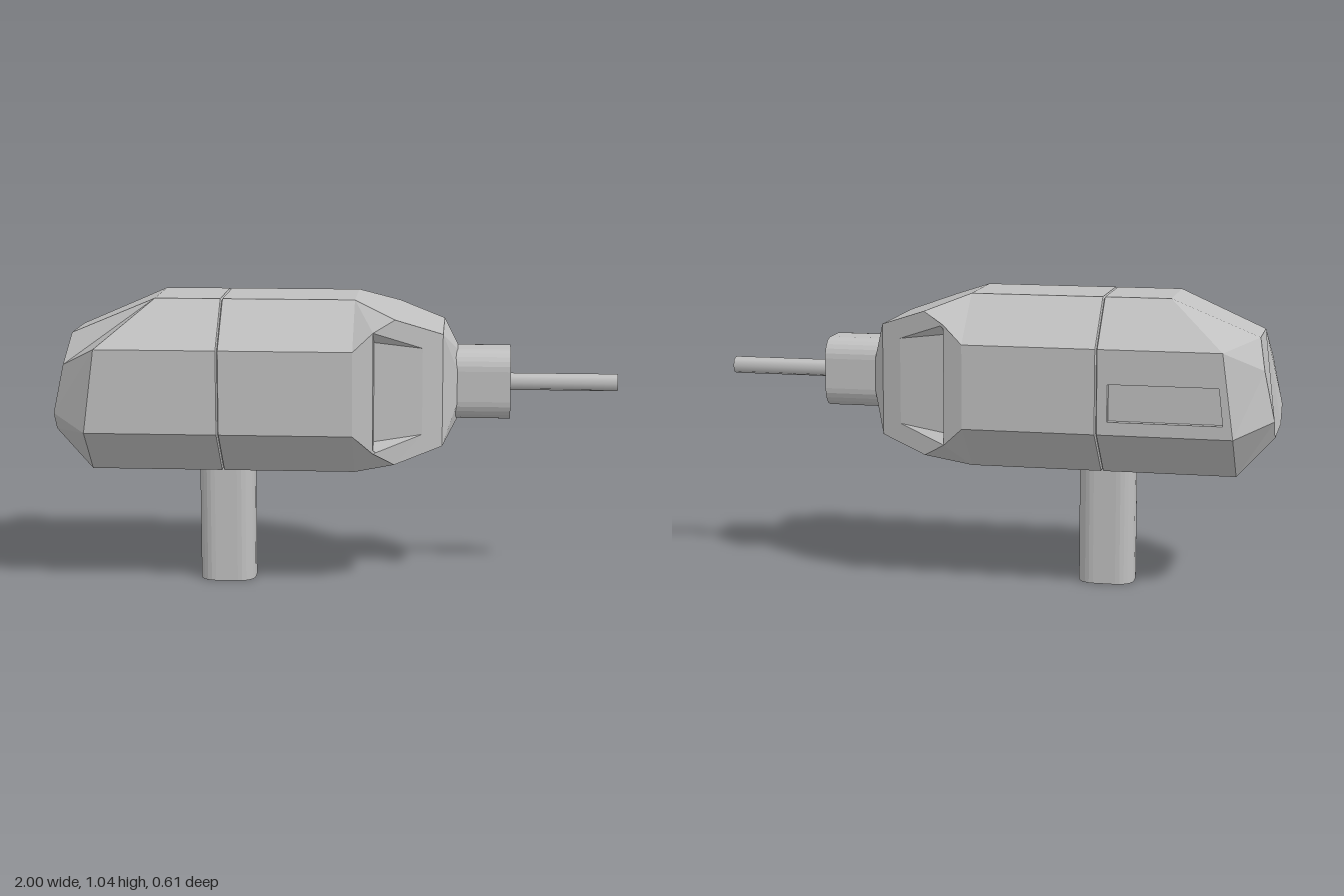
import * as THREE from 'three';

const CY = 0.737; // height of the long axis

export function createModel() {
  const grey = new THREE.MeshStandardMaterial({ color: 0xc0c0c0 });
  grey.name = 'grey';
  const group = new THREE.Group();
  const V = (x, y, z) => new THREE.Vector3(x, y, z);
  const add = (geometry, name) => {
    const mesh = new THREE.Mesh(geometry, grey);
    mesh.name = name;
    group.add(mesh);
    return mesh;
  };

  // Collects flat polygons; each faces away from the axis, or toward a given point
  const faceSet = () => {
    const out = [];
    const face = (pts, toward) => {
      for (let i = 1; i < pts.length - 1; i++) {
        const [a, b, c] = [pts[0], pts[i], pts[i + 1]];
        const n = b.clone().sub(a).cross(c.clone().sub(a));
        if (n.length() < 1e-7) continue;
        const mid = a.clone().add(b).add(c).divideScalar(3);
        const dir = toward ? toward.clone().sub(mid) : V(0, mid.y - CY, mid.z);
        for (const p of n.dot(dir) > 0 ? [a, b, c] : [a, c, b]) out.push(p.x, p.y, p.z);
      }
    };
    const geometry = () => {
      const g = new THREE.BufferGeometry();
      g.setAttribute('position', new THREE.Float32BufferAttribute(out, 3));
      g.computeVertexNormals();
      return g;
    };
    return { face, geometry };
  };

  // Eight-cornered rings: top, upper side, lower side, bottom, then the mirror
  const mirrorRing = (half) => [...half, ...half.map((p) => V(p.x, p.y, -p.z)).reverse()];
  const ring = (tx, ty, tz, sx, sy, sz) => mirrorRing([
    V(tx, CY + ty, tz), V(sx, CY + sy, sz), V(sx, CY - sy, sz), V(tx, CY - ty, tz)]);
  const loft = (set, a, b, sides = [0, 1, 2, 3, 4, 5, 6, 7]) => {
    for (const i of sides) {
      const j = (i + 1) % 8;
      set.face([a[i], a[j], b[j], b[i]]);
    }
  };
  const full = (x) => ring(x, 0.308, 0.145, x, 0.148, 0.305);
  const groove = ring(-0.4, 0.299, 0.141, -0.4, 0.144, 0.296);

  // Front housing with tapered nose
  const front = faceSet();
  const shoulder = full(0.07);
  const cheek = ring(0.215, 0.255, 0.256, 0.14, 0.212, 0.282);
  const nose = ring(0.38, 0.198, 0.2, 0.38, 0.198, 0.2);
  const collar = ring(0.43, 0.125, 0.06, 0.43, 0.06, 0.122);
  loft(front, groove, full(-0.396));
  loft(front, full(-0.396), shoulder);
  loft(front, shoulder, cheek);
  loft(front, cheek, nose, [3, 7]);
  loft(front, nose, collar);
  front.face(collar, V(2, CY, 0));

  // Wedge-shaped recess in each cheek
  for (const s of [1, -1]) {
    const at = (x, y, z) => V(x, CY + y, z * s);
    const S = (u) => at(0.14, 0.212 * u, 0.282);
    const T = (u) => at(0.215, 0.255 * u, 0.256);
    const C = (u) => at(0.38, 0.198 * u, 0.2);
    const R = (u) => at(0.31, 0.152 * u, 0.224);
    const F = (u) => at(0.142, 0.175 * u, 0.25);
    for (const u of [1, -1]) {
      front.face([T(u), C(u), R(u), S(u)]);
      front.face([S(u), F(u), R(u)], at(0.2, 0, 0.27));
    }
    front.face([R(1), R(-1), C(-1), C(1)]);
    front.face([S(1), S(-1), F(-1), F(1)], at(0.4, 0, 0.27));
    front.face([F(1), F(-1), R(-1), R(1)]);
  }
  add(front.geometry(), 'frontHousing');

  // Rear housing with sloping top and slanted end
  const rear = faceSet();
  const seam = full(-0.404);
  const haunch = mirrorRing([V(-0.635, 1.045, 0.145), V(-0.83, 0.885, 0.305),
    V(-0.87, 0.589, 0.305), V(-0.87, 0.429, 0.145)]);
  const end = mirrorRing([V(-0.94, 0.915, 0.11), V(-0.962, 0.81, 0.18),
    V(-1, 0.635, 0.18), V(-1, 0.57, 0.13)]);
  loft(rear, groove, seam);
  loft(rear, seam, haunch, [0, 1, 2, 3, 4, 6, 7]);
  loft(rear, haunch, end);
  rear.face(end, V(-3, CY + 0.3, 0));

  // Slot in the back side
  const outer = [seam[6], seam[5], haunch[5], haunch[6]];
  const rim = [[-0.44, 0.765], [-0.44, 0.635], [-0.835, 0.635], [-0.82, 0.765]];
  const lip = rim.map(([x, y]) => V(x, y, -0.305));
  const floor = rim.map(([x, y]) => V(x, y, -0.28));
  for (let i = 0; i < 4; i++) {
    const j = (i + 1) % 4;
    rear.face([outer[i], outer[j], lip[j], lip[i]], V(-0.6, CY, -3));
    rear.face([lip[i], lip[j], floor[j], floor[i]], V(-0.63, 0.7, -0.29));
  }
  rear.face(floor, V(-0.6, CY, -3));
  add(rear.geometry(), 'rearHousing');

  // Bar with rounded corners
  const roundedBar = (w, h, r, length) => {
    const s = new THREE.Shape();
    const [a, b] = [w / 2, h / 2];
    s.absarc(a - r, b - r, r, 0, Math.PI / 2);
    s.absarc(r - a, b - r, r, Math.PI / 2, Math.PI);
    s.absarc(r - a, r - b, r, Math.PI, Math.PI * 1.5);
    s.absarc(a - r, r - b, r, Math.PI * 1.5, Math.PI * 2);
    return new THREE.ExtrudeGeometry(s, { depth: length, bevelEnabled: false, curveSegments: 3 });
  };

  // Chuck, shaft and handle
  add(roundedBar(0.244, 0.248, 0.07, 0.2).rotateY(Math.PI / 2).translate(0.418, CY, 0), 'chuck');
  add(new THREE.CylinderGeometry(0.031, 0.031, 0.4, 8).rotateZ(-Math.PI / 2)
    .translate(0.8, CY, 0), 'shaft');
  add(roundedBar(0.2, 0.163, 0.06, 0.45).rotateX(-Math.PI / 2).translate(-0.4, 0, 0), 'handle');

  return group;
}
